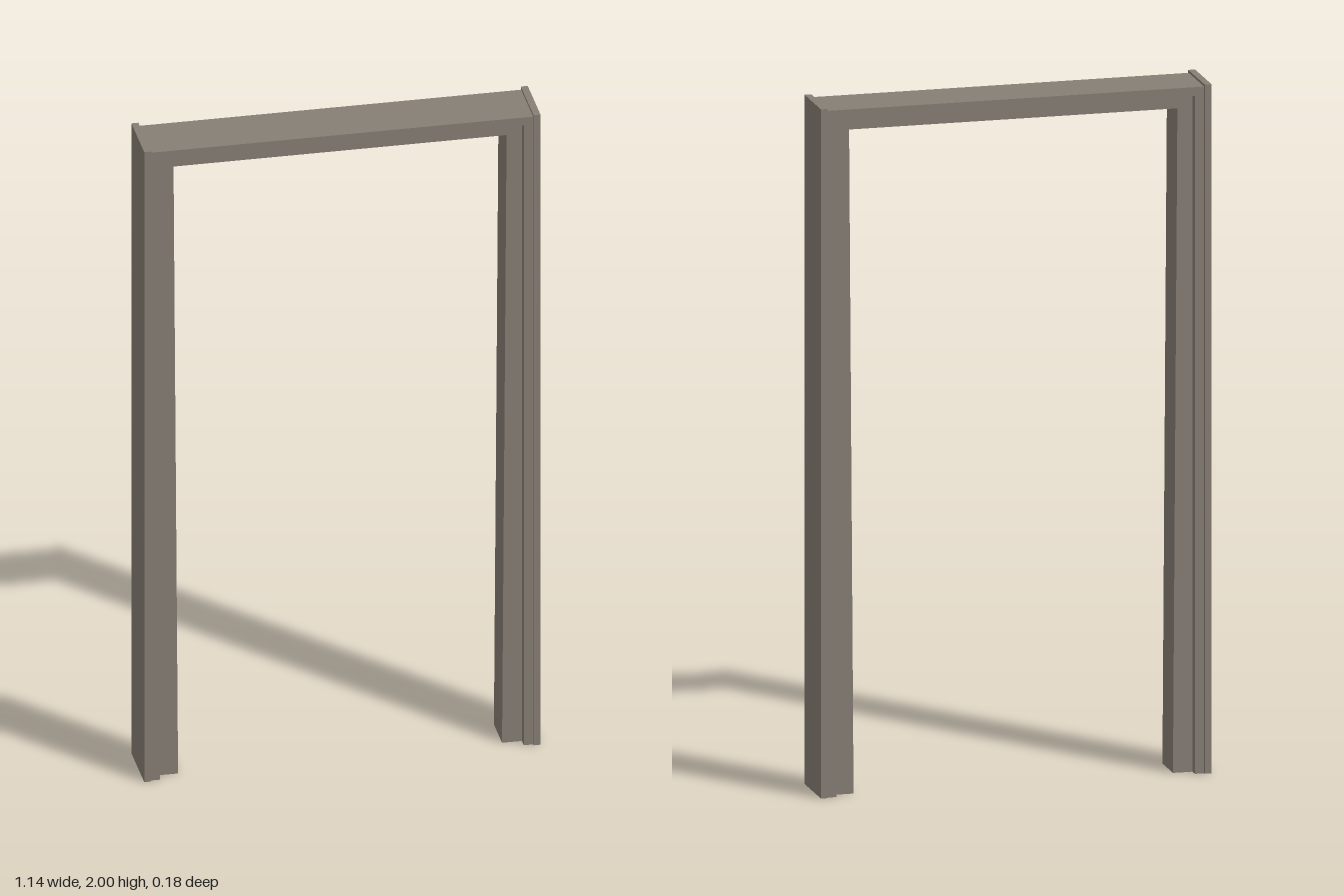
import * as THREE from 'three';

// Door-shaped band, open at the floor, extruded along z and centred on it
function archBand(outerX, outerY, innerTopX, innerBottomX, innerY, depth) {
  const shape = new THREE.Shape([
    [-outerX, 0], [-innerBottomX, 0], [-innerTopX, innerY], [innerTopX, innerY],
    [innerBottomX, 0], [outerX, 0], [outerX, outerY], [-outerX, outerY],
  ].map(([x, y]) => new THREE.Vector2(x, y)));
  const geometry = new THREE.ExtrudeGeometry(shape, { depth, bevelEnabled: false });
  return geometry.translate(0, 0, -depth / 2);
}

export function createModel() {
  const model = new THREE.Group();
  model.name = 'doorFrame';
  const stone = new THREE.MeshStandardMaterial({ color: 0x877f75 });
  stone.name = 'warm grey';

  const add = (name, geometry, x = 0, y = 0) => {
    const mesh = new THREE.Mesh(geometry, stone);
    mesh.name = name;
    mesh.position.set(x, y, 0);
    model.add(mesh);
  };

  // Widest strips on the outer sides, standing slightly proud of the top
  for (const [name, side] of [['leftOuterStrip', 1], ['rightOuterStrip', -1]]) {
    add(name, new THREE.BoxGeometry(0.02, 2, 0.18), side * 0.56, 1);
  }

  // Stepped moulding around jambs and lintel
  add('outerMoulding', archBand(0.55, 1.993, 0.523, 0.523, 1.968, 0.168));

  // Narrower inner lining, its jambs thickening towards the floor
  add('innerLining', archBand(0.523, 1.968, 0.479, 0.466, 1.928, 0.114));

  return model;
}
